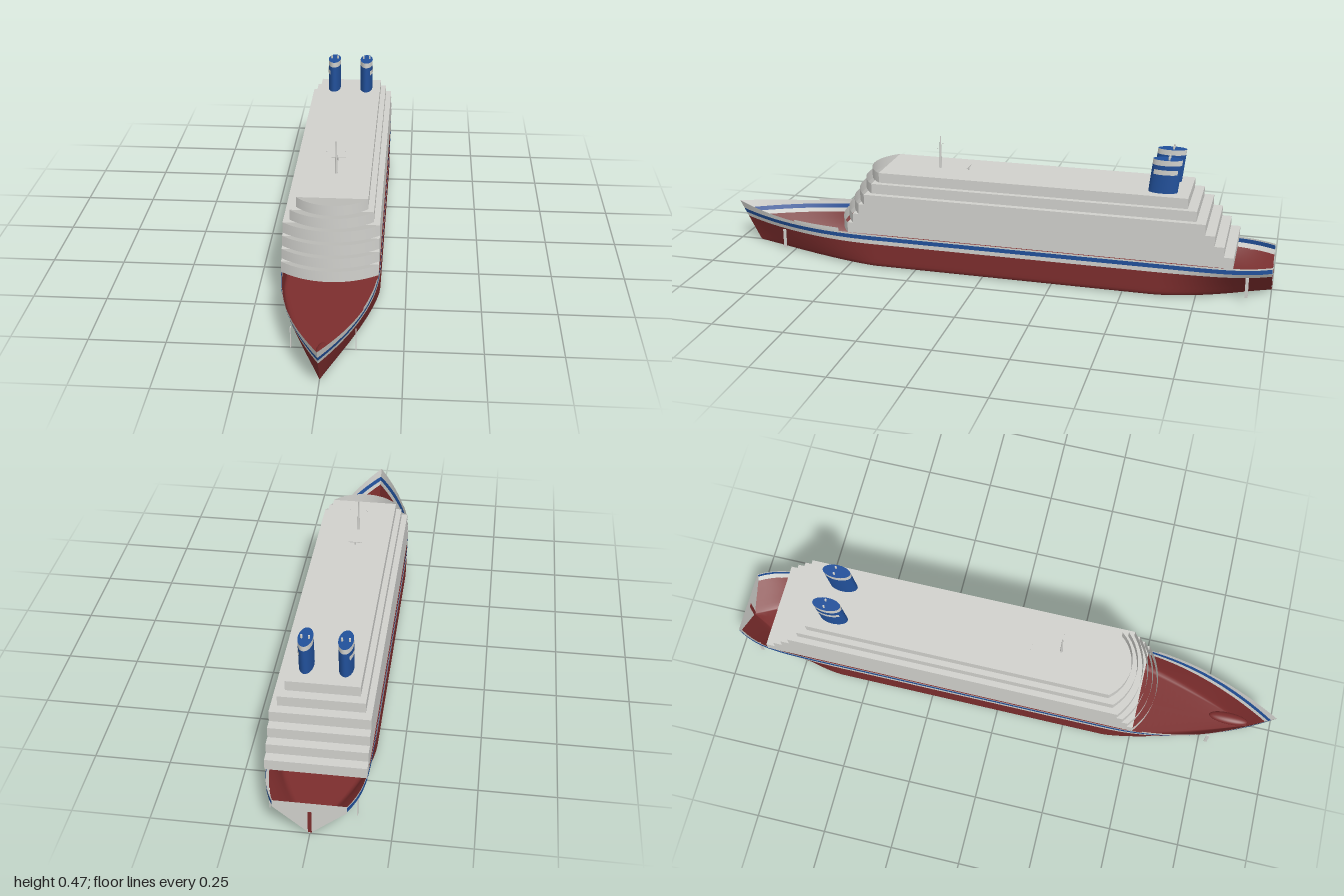
import * as THREE from 'three';

const mat = (name, color, side = THREE.FrontSide) => {
  const m = new THREE.MeshStandardMaterial({ color, side });
  m.name = name;
  return m;
};

// Surface from a rule fn(u, v) -> [x, y, z]
function grid(fn, nu, nv) {
  const pos = [], idx = [];
  for (let i = 0; i <= nu; i++) for (let j = 0; j <= nv; j++) pos.push(...fn(i / nu, j / nv));
  for (let i = 0; i < nu; i++) for (let j = 0; j < nv; j++) {
    const a = i * (nv + 1) + j, b = a + nv + 1;
    idx.push(a, b, a + 1, b, b + 1, a + 1);
  }
  const g = new THREE.BufferGeometry();
  g.setAttribute('position', new THREE.Float32BufferAttribute(pos, 3));
  g.setIndex(idx);
  g.computeVertexNormals();
  return g;
}

// Hull rules: bow tapers to a raked stem, stern tapers to a V-shaped transom
const BEAM = 0.163, BOW = 0.4, STERN = -0.6;
const bowPart = t => Math.max(0, (t - BOW) / (1 - BOW));
const sternPart = t => Math.max(0, (STERN - t) / (1 + STERN));
const sheer = t => 0.126 + 0.024 * Math.pow(bowPart(t), 2.3);

function hullPoint(t, y, inset = 0) {
  const s = bowPart(t), q = sternPart(t);
  const power = 1.3 + Math.min(1, y / 0.125);
  let w = BEAM * (1 - Math.pow(s, power));
  w *= 1 - 0.3 * Math.pow(q, 5);
  w *= 1 - Math.pow(q, 1.6) * (1 - Math.min(1, y / 0.1));
  const stem = 0.92 + 0.08 * Math.min(1, y / 0.15);
  const z = s > 0 ? BOW + (stem - BOW) * s : t;
  return [w * (1 - inset / BEAM), y, z];
}

export function createModel() {
  const ship = new THREE.Group();
  ship.name = 'cruiseShip';
  const red = mat('hull red', 0x7c2d2d, THREE.DoubleSide);
  const white = mat('off white', 0xd0d0cc, THREE.DoubleSide);
  const blue = mat('stripe blue', 0x21509a, THREE.DoubleSide);

  const add = (name, geo, m, x = 0, y = 0, z = 0, parent = ship) => {
    const mesh = new THREE.Mesh(geo, m);
    mesh.name = name;
    mesh.position.set(x, y, z);
    parent.add(mesh);
    return mesh;
  };
  const box = (name, w, h, d, m, x, y, z) => add(name, new THREE.BoxGeometry(w, h, d), m, x, y, z);

  // Hull plating, one strip per colour, on both sides: rows of [height, inset]
  const bilge = [[0, BEAM], [0, 0.022], [0.002, 0.012], [0.006, 0.005], [0.012, 0.001],
    [0.02, 0], [0.035, 0], [0.05, 0], [0.07, 0], [0.09, 0]];
  for (const side of [-1, 1]) {
    const strip = (name, m, rows, t0 = -1, t1 = 1) => add(name, grid((u, v) => {
      const t = t0 + (t1 - t0) * u;
      const [y, inset] = rows(t)[Math.round(v * (rows(t).length - 1))];
      const [x, py, z] = hullPoint(t, y, inset);
      return [side * x, py, z];
    }, 80, rows(0).length - 1), m);
    strip('lowerHull', red, () => bilge);
    strip('lowerWhiteStripe', white, () => [[0.09, 0], [0.105, 0]]);
    strip('blueStripe', blue, () => [[0.105, 0], [0.12, 0]]);
    strip('bulwark', white, t => [[0.12, 0], [sheer(t), 0]]);
    strip('raisedBulwark', white, t => [[sheer(t), 0], [0.139, 0]], 0.54, 0.73);

    // Draft marks
    for (const [t, z] of [[0.77, 0.775], [-0.92, -0.92]]) {
      box('draftMark', 0.003, 0.072, 0.011, white, side * (hullPoint(t, 0.09)[0]), 0.054, z);
    }
  }

  // Transom
  const levels = [0, 0.02, 0.04, 0.06, 0.08, 0.1, 0.126];
  add('transom', grid((u, v) => {
    const y = levels[Math.round(v * 6)];
    return [(2 * u - 1) * hullPoint(-1, y)[0], y, -1];
  }, 1, 6), white);
  box('sternDraftMark', 0.012, 0.085, 0.004, red, 0, 0.048, -0.999);

  // Bulbous bow
  const bulb = add('bowBulb', new THREE.SphereGeometry(1, 24, 16), red, 0, 0.033, 0.842);
  bulb.scale.set(0.022, 0.017, 0.072);

  // Stepped decks, each with a bowed front screen
  const base = 0.127, bulge = 0.057;
  const tops = [0.165, 0.2, 0.237, 0.275, 0.311, 0.347];
  const halves = [0.16, 0.16, 0.16, 0.16, 0.139, 0.119];
  tops.forEach((top, i) => {
    const y0 = i ? tops[i - 1] : base, half = halves[i];
    const front = 0.5 - 0.022 * i, back = -0.872 + 0.033 * i;
    box('deck' + (i + 1), half * 2, top - y0, front - back, white, 0, (top + y0) / 2, (front + back) / 2);
    const r = (half * half + bulge * bulge) / (2 * bulge);
    const sweep = Math.asin(half / r);
    add('frontScreen' + (i + 1), grid((u, v) => {
      const a = (2 * u - 1) * sweep;
      return [r * Math.sin(a), y0 + (top - y0) * v, front + bulge - r * (1 - Math.cos(a))];
    }, 24, 1), white);
  });

  // Raked oval funnels
  const roof = 0.347;
  for (const side of [-1, 1]) {
    const funnel = new THREE.Group();
    funnel.name = 'funnel';
    funnel.position.set(side * 0.0635, roof, -0.615);
    ship.add(funnel);
    const oval = (name, y0, y1, m, grow = 1, open = false, start = 0, sweep = Math.PI * 2) => {
      const g = new THREE.CylinderGeometry(grow, grow, y1 - y0, 32, 1, open, start, sweep);
      g.scale(0.024, 1, 0.05);
      g.translate(0, (y0 + y1) / 2, 0);
      const p = g.attributes.position;
      for (let i = 0; i < p.count; i++) p.setZ(i, p.getZ(i) - 0.11 * p.getY(i));
      g.computeBoundingSphere();
      return add(name, g, m, 0, 0, 0, funnel);
    };
    oval('funnelBody', 0, 0.098, blue);
    oval('funnelCap', 0.098, 0.117, [white, blue, blue]);
    oval('funnelPatch', 0.066, 0.083, white, 1.04, true, side * Math.PI / 2 - 0.9, 1.8);
    for (const dx of [-0.012, 0.012]) {
      add('exhaustPipe', new THREE.CylinderGeometry(0.0035, 0.0035, 0.012, 10), white, dx, 0.122, -0.018, funnel);
    }
    // Mast lamp
    add('mastLamp', new THREE.SphereGeometry(0.0018, 8, 6), white, side * 0.031, 0.428, 0.195);
  }

  // Mast and radar
  add('mast', new THREE.CylinderGeometry(0.002, 0.005, 0.118, 12), white, 0, roof + 0.059, 0.195);
  add('radarPost', new THREE.CylinderGeometry(0.0025, 0.0025, 0.01, 8), white, 0, roof + 0.005, 0.09);
  box('radarBar', 0.048, 0.003, 0.005, white, 0, 0.358, 0.09);

  return ship;
}
